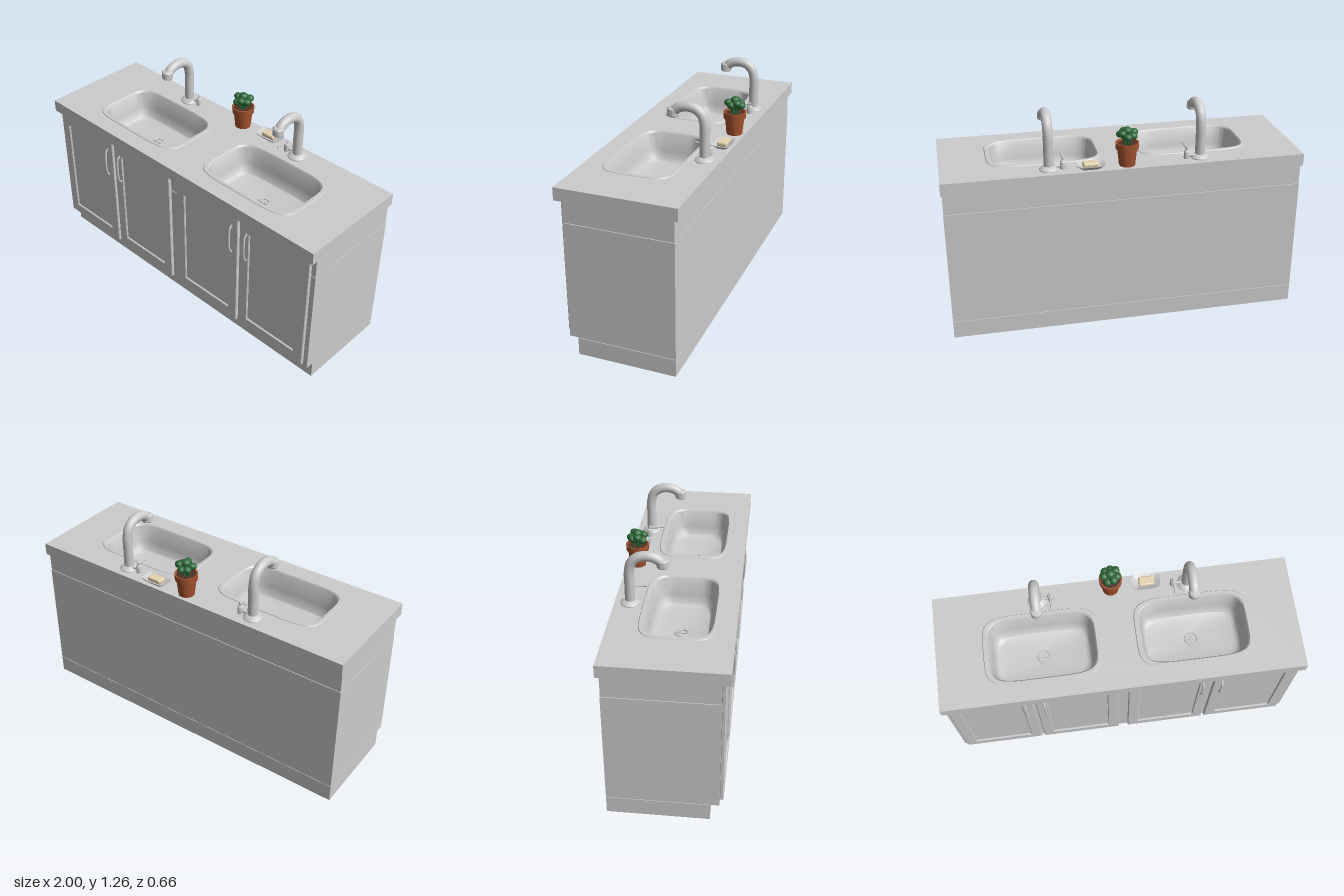
import * as THREE from 'three';
import { toCreasedNormals } from 'three/addons/utils/BufferGeometryUtils.js';
import { RoundedBoxGeometry } from 'three/addons/geometries/RoundedBoxGeometry.js';

const mat = (color, side = THREE.FrontSide) => new THREE.MeshStandardMaterial({ color, side });
const grey = mat(0xcccccc);
const greyDouble = mat(0xcccccc, THREE.DoubleSide);
const terracotta = mat(0xa5532f);
const soilColor = mat(0x4a3325);
const leafColor = mat(0x2f6b3a);
const soapColor = mat(0xe6d3b0);

function add(parent, name, geometry, material = grey, x = 0, y = 0, z = 0) {
  const mesh = new THREE.Mesh(geometry, material);
  mesh.name = name;
  mesh.position.set(x, y, z);
  parent.add(mesh);
  return mesh;
}

function group(parent, name, x = 0, y = 0, z = 0) {
  const g = new THREE.Group();
  g.name = name;
  g.position.set(x, y, z);
  parent.add(g);
  return g;
}

// Box given by its limits on each axis
function block(parent, name, [x0, x1], [y0, y1], [z0, z1]) {
  return add(parent, name, new THREE.BoxGeometry(x1 - x0, y1 - y0, z1 - z0), grey,
    (x0 + x1) / 2, (y0 + y1) / 2, (z0 + z1) / 2);
}

function rectPath(path, x0, x1, y0, y1) {
  return path.moveTo(x0, y0).lineTo(x1, y0).lineTo(x1, y1).lineTo(x0, y1).closePath();
}

const lathe = (points, segments = 32) =>
  toCreasedNormals(new THREE.LatheGeometry(points.map(p => new THREE.Vector2(...p)), segments), 0.6);

const tube = (points, radius, steps = 32, sides = 16) => new THREE.TubeGeometry(
  new THREE.CatmullRomCurve3(points.map(p => new THREE.Vector3(...p))), steps, radius, sides);

// Point on a rounded rectangle (superellipse)
function roundedPoint(a, hx, hz, n) {
  const c = Math.cos(a), s = Math.sin(a);
  return [hx * Math.sign(c) * Math.abs(c) ** (2 / n), hz * Math.sign(s) * Math.abs(s) ** (2 / n)];
}

// Surface through stacked rounded rectangles: [half x, half z, y, squareness]
function loftRings(rings, sides = 72) {
  const positions = [], index = [];
  rings.forEach(([hx, hz, y, n], r) => {
    for (let i = 0; i < sides; i++) {
      const [x, z] = roundedPoint(i / sides * Math.PI * 2, hx, hz, n);
      positions.push(x, y, z);
      if (r === 0) continue;
      const j = (i + 1) % sides, a = (r - 1) * sides, b = r * sides;
      index.push(a + i, b + i, a + j, a + j, b + i, b + j);
    }
  });
  const geometry = new THREE.BufferGeometry();
  geometry.setAttribute('position', new THREE.Float32BufferAttribute(positions, 3));
  geometry.setIndex(index);
  return toCreasedNormals(geometry, 0.6);
}

const SINK_X = 0.42, SINK_Z = 0.03;

// Worktop with two sink cut-outs
function buildWorktop(root) {
  const shape = rectPath(new THREE.Shape(), -1, 1, -0.33, 0.327);
  for (const s of [-1, 1]) {
    const hole = [];
    for (let i = 0; i < 72; i++) {
      const [x, z] = roundedPoint(i / 72 * Math.PI * 2, 0.308, 0.193, 5);
      hole.push(new THREE.Vector2(s * SINK_X + x, z - SINK_Z));
    }
    shape.holes.push(new THREE.Path(hole));
  }
  const geometry = new THREE.ExtrudeGeometry(shape, { depth: 0.07, bevelEnabled: false });
  geometry.rotateX(-Math.PI / 2);
  add(root, 'worktop', geometry, grey, 0, 0.882, 0);
}

function buildCabinet(root) {
  block(root, 'plinth', [-0.995, 0.995], [0, 0.1], [-0.308, 0.24]);
  block(root, 'cabinetBody', [-0.995, 0.995], [0.103, 0.763], [-0.308, 0.288]);
  // Hollow upper frame that leaves room for the basins
  const shape = rectPath(new THREE.Shape(), -0.993, 0.993, -0.286, 0.306);
  shape.holes.push(rectPath(new THREE.Path(), -0.96, 0.96, -0.255, 0.275));
  const frame = new THREE.ExtrudeGeometry(shape, { depth: 0.117, bevelEnabled: false });
  frame.rotateX(-Math.PI / 2);
  add(root, 'upperFrame', frame, grey, 0, 0.765, 0);
}

// Framed door with a recessed panel and a bowed handle
function buildDoor(root, x, handleSide) {
  const door = group(root, 'door', x, 0.495, 0.288);
  const shape = rectPath(new THREE.Shape(), -0.232, 0.232, -0.37, 0.37);
  shape.holes.push(rectPath(new THREE.Path(), -0.168, 0.168, -0.305, 0.305));
  add(door, 'doorFrame', new THREE.ExtrudeGeometry(shape, {
    depth: 0.014, bevelThickness: 0.004, bevelSize: 0.004, bevelOffset: -0.004, bevelSegments: 1,
  }), grey, 0, 0, 0.002);
  block(door, 'doorPanel', [-0.17, 0.17], [-0.307, 0.307], [0, 0.01]);
  const hx = handleSide * 0.187;
  add(door, 'doorHandle', tube([[hx, 0.125, 0.018], [hx, 0.3, 0.018]].flatMap(([a, y, z], i) => {
    const d = i ? -1 : 1;
    const bow = [[a, y, z], [a, y + d * 0.01, 0.03], [a, y + d * 0.05, 0.037]];
    return i ? bow.reverse() : bow;
  }), 0.006, 32, 10));
  for (const y of [0.125, 0.3]) {
    add(door, 'handleFoot', new THREE.CylinderGeometry(0.008, 0.008, 0.008, 12).rotateX(Math.PI / 2),
      grey, hx, y, 0.022);
  }
}

function buildSink(root, s) {
  const sink = group(root, 'sink', s * SINK_X, 0, SINK_Z);
  add(sink, 'basin', loftRings([
    [0.323, 0.205, 0.951, 5], [0.319, 0.201, 0.957, 5], [0.3, 0.186, 0.957, 5],
    [0.292, 0.179, 0.948, 5], [0.277, 0.165, 0.85, 5], [0.268, 0.155, 0.81, 5],
    [0.255, 0.143, 0.794, 5], [0.235, 0.125, 0.788, 4.5], [0.14, 0.08, 0.783, 3],
    [0.036, 0.036, 0.778, 2],
  ]), greyDouble);
  add(sink, 'drainCup', new THREE.CylinderGeometry(0.037, 0.037, 0.004, 32), grey, 0, 0.773, 0);
  add(sink, 'drainRing', new THREE.TorusGeometry(0.034, 0.005, 8, 32).rotateX(Math.PI / 2), grey, 0, 0.779, 0);
  for (const [w, d] of [[0.06, 0.007], [0.007, 0.06]]) {
    add(sink, 'drainBar', new THREE.BoxGeometry(w, 0.006, d), grey, 0, 0.779, 0);
  }
}

// Arched tap, its lever valve sits towards the middle of the worktop
function buildTap(root, s) {
  const tap = group(root, 'tap', s * SINK_X, 0.95, -0.243);
  add(tap, 'tapBase', lathe([[0, 0], [0.052, 0], [0.052, 0.006], [0.034, 0.022], [0.027, 0.024]]));
  add(tap, 'tapSpout', tube([[0, 0, 0], [0, 0.1, 0], [0, 0.2, 0.001], [0, 0.248, 0.016], [0, 0.277, 0.05],
    [0, 0.286, 0.095], [0, 0.278, 0.135], [0, 0.262, 0.16], [0, 0.245, 0.173]], 0.027, 48, 20));
  add(tap, 'tapNozzle', lathe([[0, 0.225], [0.027, 0.225], [0.031, 0.23], [0.031, 0.265],
    [0.024, 0.273], [0, 0.275]]), grey, 0, 0, 0.175);
  const valve = group(tap, 'valve', -s * 0.076, 0, -0.003);
  add(valve, 'valvePost', lathe([[0, 0], [0.016, 0], [0.016, 0.042], [0.012, 0.048], [0.007, 0.05],
    [0.007, 0.066], [0.004, 0.07], [0, 0.07]], 20));
  add(valve, 'valveLever', tube([[0, 0.057, 0], [0, 0.059, 0.04], [0, 0.064, 0.08]], 0.005, 12, 10));
  add(valve, 'leverTip', new THREE.SphereGeometry(0.006, 12, 8), grey, 0, 0.064, 0.08);
  add(valve, 'valveLink', new THREE.CylinderGeometry(0.008, 0.008, 0.06, 12).rotateZ(Math.PI / 2),
    grey, s * 0.035, 0.018, 0);
}

function buildPlant(root) {
  const plant = group(root, 'pottedPlant', -0.004, 0.95, -0.264);
  add(plant, 'pot', lathe([[0, 0], [0.044, 0], [0.054, 0.094], [0.062, 0.096], [0.064, 0.131],
    [0.056, 0.131], [0.054, 0.115]]), mat(0xa5532f, THREE.DoubleSide));
  add(plant, 'potBase', new THREE.CylinderGeometry(0.045, 0.043, 0.004, 32), terracotta, 0, 0.003, 0);
  add(plant, 'soil', new THREE.CylinderGeometry(0.056, 0.056, 0.006, 32), soilColor, 0, 0.117, 0);
  // Ring of leaves around a taller centre
  const leaf = new THREE.SphereGeometry(1, 16, 12);
  const leaves = [[0, 0.196, 0, 0.026], [0.014, 0.17, 0.012, 0.026], [-0.016, 0.168, -0.01, 0.026]];
  for (let i = 0; i < 7; i++) {
    const a = i / 7 * Math.PI * 2 + 0.3;
    leaves.push([0.037 * Math.cos(a), 0.176 + 0.012 * Math.sin(i * 2.4), 0.037 * Math.sin(a), 0.023]);
  }
  for (const [x, y, z, r] of leaves) {
    add(plant, 'leaf', leaf, leafColor, x, y, z).scale.set(r, r * 0.85, r);
    add(plant, 'stem', tube([[x * 0.3, 0.115, z * 0.3], [x * 0.5, 0.14, z * 0.5], [x, y, z]], 0.005, 8, 8), leafColor);
  }
}

function buildSoapDish(root) {
  const dish = group(root, 'soapDish', 0.198, 0.951, -0.272);
  add(dish, 'dish', loftRings([
    [0.001, 0.001, 0.01, 3], [0.05, 0.027, 0.01, 4], [0.068, 0.04, 0.022, 4], [0.078, 0.049, 0.026, 4],
    [0.078, 0.049, 0.022, 4], [0.05, 0.028, 0.001, 4], [0.001, 0.001, 0.001, 3],
  ], 48), greyDouble);
  add(dish, 'soap', new RoundedBoxGeometry(0.086, 0.026, 0.054, 3, 0.009), soapColor, 0, 0.024, 0);
}

export function createModel() {
  const root = new THREE.Group();
  root.name = 'doubleSinkCabinet';
  buildCabinet(root);
  buildWorktop(root);
  [[-0.742, 1], [-0.263, -1], [0.257, 1], [0.737, -1]].forEach(([x, side]) => buildDoor(root, x, side));
  for (const s of [-1, 1]) {
    buildSink(root, s);
    buildTap(root, s);
  }
  buildPlant(root);
  buildSoapDish(root);
  return root;
}
